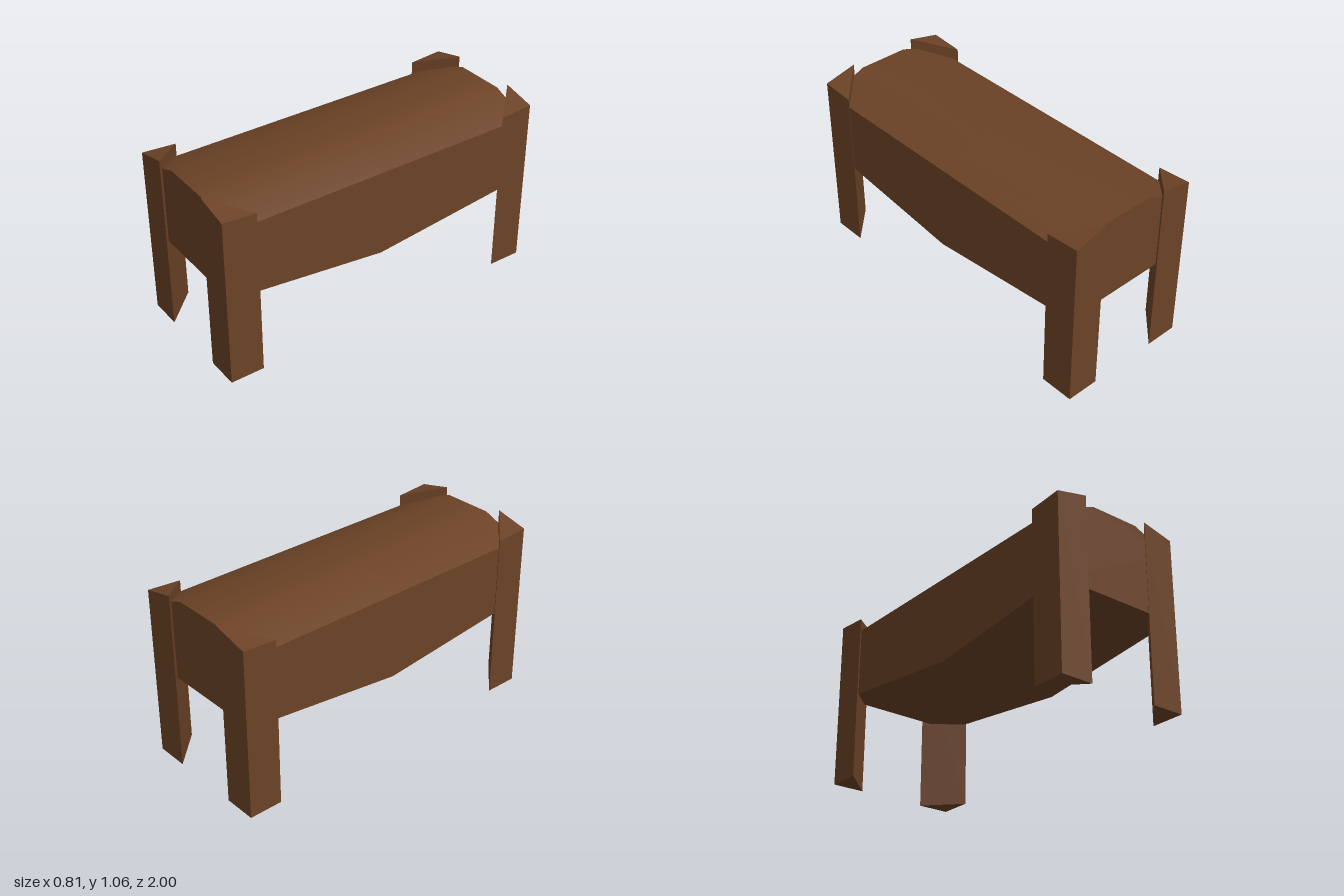
import * as THREE from 'three';
import { toCreasedNormals } from 'three/addons/utils/BufferGeometryUtils.js';

const HALF_X = 0.404; // outer face of the legs
const LEG_X = 0.194;  // leg width along x
const LEG_Z = 0.2;    // leg width along z

// Applies a rule to every vertex of a geometry
function reshape(geometry, rule) {
  const pos = geometry.attributes.position;
  const v = new THREE.Vector3();
  for (let i = 0; i < pos.count; i++) {
    v.fromBufferAttribute(pos, i);
    rule(v);
    pos.setXYZ(i, v.x, v.y, v.z);
  }
  geometry.computeVertexNormals();
  return geometry;
}

// Body: roof-like cross-section run front to back, with a belly that sags to the middle
function bodyGeometry() {
  const profile = new THREE.Shape([
    [-0.38, 0.5], [0.395, 0.5], [0.395, 0.94],
    [0.165, 1.033], [-0.135, 1.033], [-0.38, 0.94],
  ].map(([x, y]) => new THREE.Vector2(x, y)));
  const zBack = -0.965, depth = 1.94, zLow = 0.02;
  const geometry = new THREE.ExtrudeGeometry(profile, { depth, steps: 2, bevelEnabled: false });
  geometry.translate(0, 0, zBack);
  reshape(geometry, (v) => {
    if (Math.abs(v.z) < 0.5) v.z = zLow;
    if (v.y < 0.7) v.y = 0.427 + 0.111 * Math.abs(v.z - zLow);
  });
  return toCreasedNormals(geometry, 0.6);
}

// Leg: triangular prism filling one corner, with a slanted top
function legGeometry(sx, sz) {
  const triangle = new THREE.Shape([
    new THREE.Vector2(sx * HALF_X, -sz),
    new THREE.Vector2(sx * (HALF_X - LEG_X), -sz),
    new THREE.Vector2(sx * HALF_X, -sz * (1 - LEG_Z)),
  ]);
  const geometry = new THREE.ExtrudeGeometry(triangle, { depth: 1, bevelEnabled: false });
  geometry.rotateX(-Math.PI / 2);
  return reshape(geometry, (v) => {
    if (v.y < 0.5) return;
    const inX = (HALF_X - Math.abs(v.x)) / LEG_X;
    const inZ = (1 - Math.abs(v.z)) / LEG_Z;
    v.y = 1.015 + 0.045 * inX - 0.015 * inZ;
  });
}

export function createModel() {
  const model = new THREE.Group();
  model.name = 'bench';
  const wood = new THREE.MeshStandardMaterial({ color: 0x6b4226 });
  wood.name = 'brown wood';

  const add = (geometry, name) => {
    const mesh = new THREE.Mesh(geometry, wood);
    mesh.name = name;
    model.add(mesh);
  };

  add(bodyGeometry(), 'body');
  for (const sz of [1, -1]) {
    for (const sx of [1, -1]) {
      add(legGeometry(sx, sz), `${sz > 0 ? 'front' : 'back'}${sx > 0 ? 'Left' : 'Right'}Leg`);
    }
  }
  return model;
}
